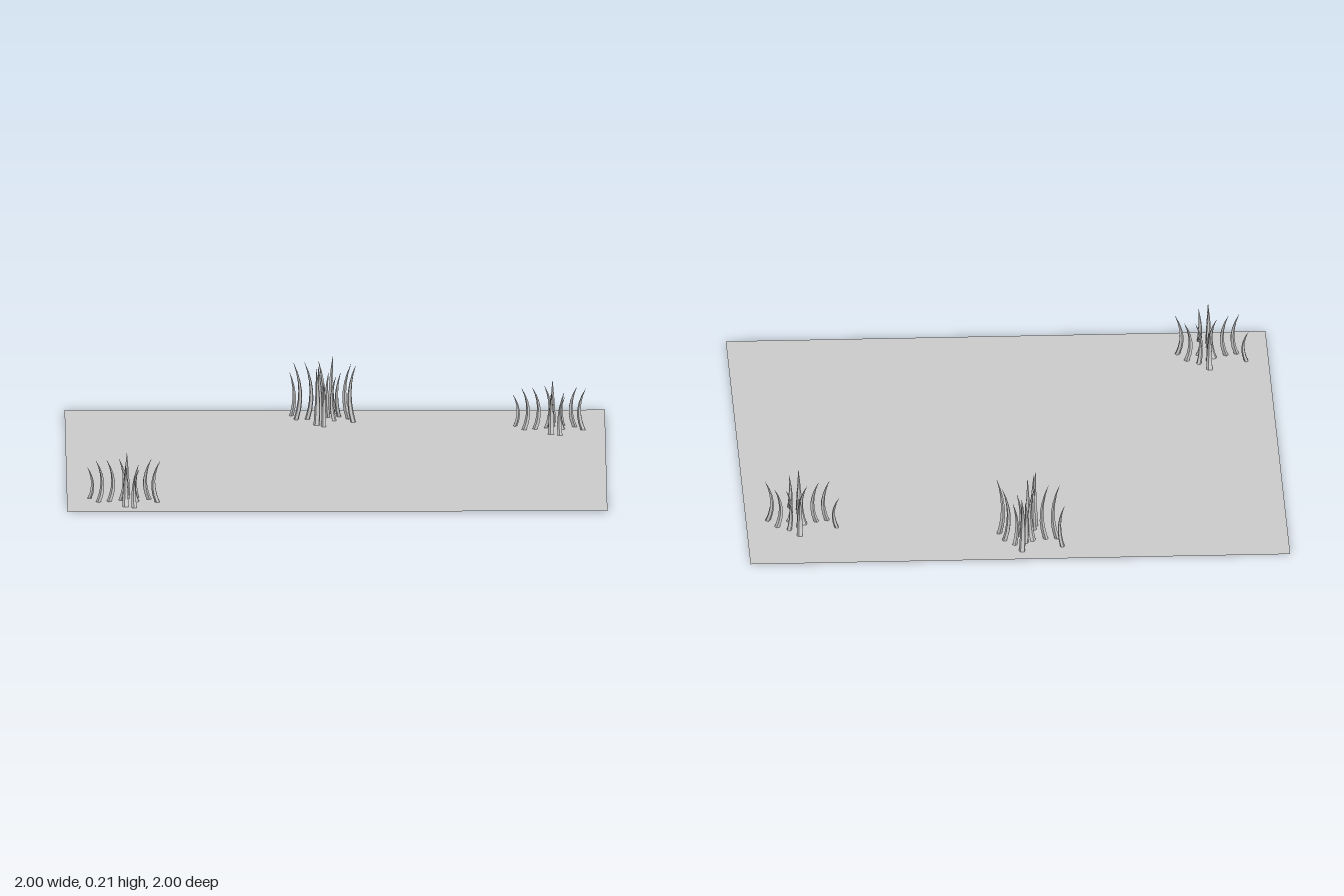
import * as THREE from 'three';

// Blades of one tuft: [x, z, height]
const BLADES = [
  [0.005, -0.112, 0.155], [-0.134, -0.043, 0.118], [-0.1, 0.027, 0.155],
  [-0.06, 0.016, 0.155], [-0.016, -0.01, 0.155], [0.005, -0.037, 0.12],
  [0.043, -0.06, 0.12], [0.086, -0.027, 0.15], [0.043, 0.021, 0.12],
  [0.118, 0.032, 0.155], [0, 0.086, 0.155], [0, 0.123, 0.155], [0.032, 0.144, 0.125],
];

// Tufts: position, turn about y, height scale
const TUFTS = [
  { name: 'rightBackTuft', x: 0.8, z: -0.64, turn: 0, tall: 1 },
  { name: 'leftFrontTuft', x: -0.783, z: 0.78, turn: 0, tall: 1 },
  { name: 'tallBackTuft', x: -0.04, z: -0.82, turn: -0.23, tall: 1.38 },
];

// A tapered stalk that bows along -x and flicks its tip towards +x
function bladeGeometry(height) {
  const size = height > 0.13 ? 1 : 0.8;
  const geometry = new THREE.CylinderGeometry(1, 1, 1, 5, 6);
  geometry.translate(0, 0.5, 0);
  const p = geometry.attributes.position;
  for (let i = 0; i < p.count; i++) {
    const t = p.getY(i);
    const radius = size * 0.0115 * (1 - t ** 1.8) + 0.0006;
    const bow = size * (-0.07 * t + 0.08 * t * t);
    p.setXYZ(i, p.getX(i) * radius * 0.8 + bow, t * height, p.getZ(i) * radius);
  }
  geometry.computeVertexNormals();
  return geometry;
}

export function createModel() {
  const model = new THREE.Group();
  model.name = 'grassPatch';

  // Flat square of ground
  const ground = new THREE.Mesh(
    new THREE.PlaneGeometry(2, 2).rotateX(-Math.PI / 2),
    new THREE.MeshStandardMaterial({ color: 0xcccccc, side: THREE.DoubleSide }),
  );
  ground.name = 'ground';
  model.add(ground);

  // Grass tufts, each blade curling away from the tuft's middle
  const grass = new THREE.MeshStandardMaterial({ color: 0xcccccc, flatShading: true });
  for (const { name, x, z, turn, tall } of TUFTS) {
    const tuft = new THREE.Group();
    tuft.name = name;
    for (const [bx, bz, height] of BLADES) {
      const blade = new THREE.Mesh(bladeGeometry(height), grass);
      blade.name = 'grassBlade';
      blade.position.set(bx, 0, bz);
      blade.rotation.y = -Math.atan2(bz, bx);
      tuft.add(blade);
    }
    tuft.position.set(x, 0, z);
    tuft.rotation.y = turn;
    tuft.scale.y = tall;
    model.add(tuft);
  }
  return model;
}
